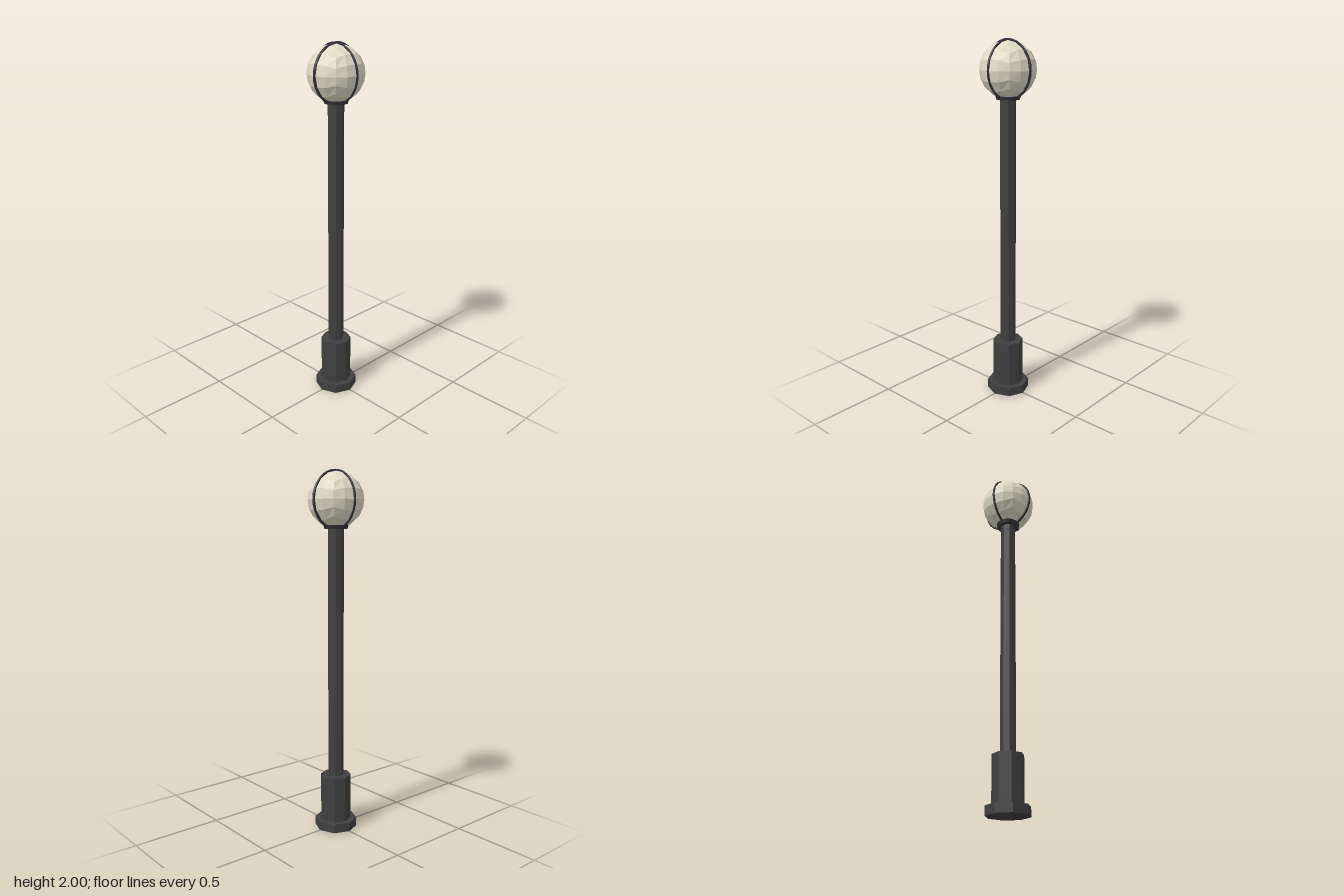
import * as THREE from 'three';

export function createModel() {
  const model = new THREE.Group();
  const material = (name, color) => {
    const m = new THREE.MeshStandardMaterial({ color, flatShading: true });
    m.name = name;
    return m;
  };
  const iron = material('dark iron', 0x404040);
  const cageIron = material('cage iron', 0x35353a);
  const glass = material('cream glass', 0xdedac6);

  const add = (name, geometry, mat, y = 0) => {
    const mesh = new THREE.Mesh(geometry, mat);
    mesh.name = name;
    mesh.position.y = y;
    model.add(mesh);
    return mesh;
  };

  // Octagonal post sections: name, radius, bottom, top
  const sections = [
    ['foot', 0.118, 0, 0.05],
    ['plinth', 0.085, 0.05, 0.31],
    ['pole', 0.043, 0.31, 1.7],
  ];
  for (const [name, r, y0, y1] of sections) {
    add(name, new THREE.CylinderGeometry(r, r, y1 - y0, 8), iron, (y0 + y1) / 2);
  }

  // Collar that holds the globe
  add('collar', new THREE.CylinderGeometry(0.068, 0.062, 0.02, 16), cageIron, 1.698);

  // Globe: a subdivided cube pushed out to a sphere
  const centre = 1.841;
  const globe = new THREE.BoxGeometry(2, 2, 2, 4, 4, 4);
  const p = globe.attributes.position;
  const v = new THREE.Vector3();
  const even = (t) => Math.tan((t * Math.PI) / 4);
  for (let i = 0; i < p.count; i++) {
    v.fromBufferAttribute(p, i);
    v.set(even(v.x), even(v.y), even(v.z)).setLength(0.151);
    p.setXYZ(i, v.x, v.y, v.z);
  }
  globe.computeVertexNormals();
  add('globe', globe, glass, centre);

  // Two crossed hoops around the globe
  for (const [name, turn, tube] of [['sideHoop', 0, 0.0065], ['frontHoop', Math.PI / 2, 0.008]]) {
    const hoop = add(name, new THREE.TorusGeometry(0.151, tube, 6, 32), cageIron, centre);
    hoop.rotation.y = turn;
  }
  return model;
}
